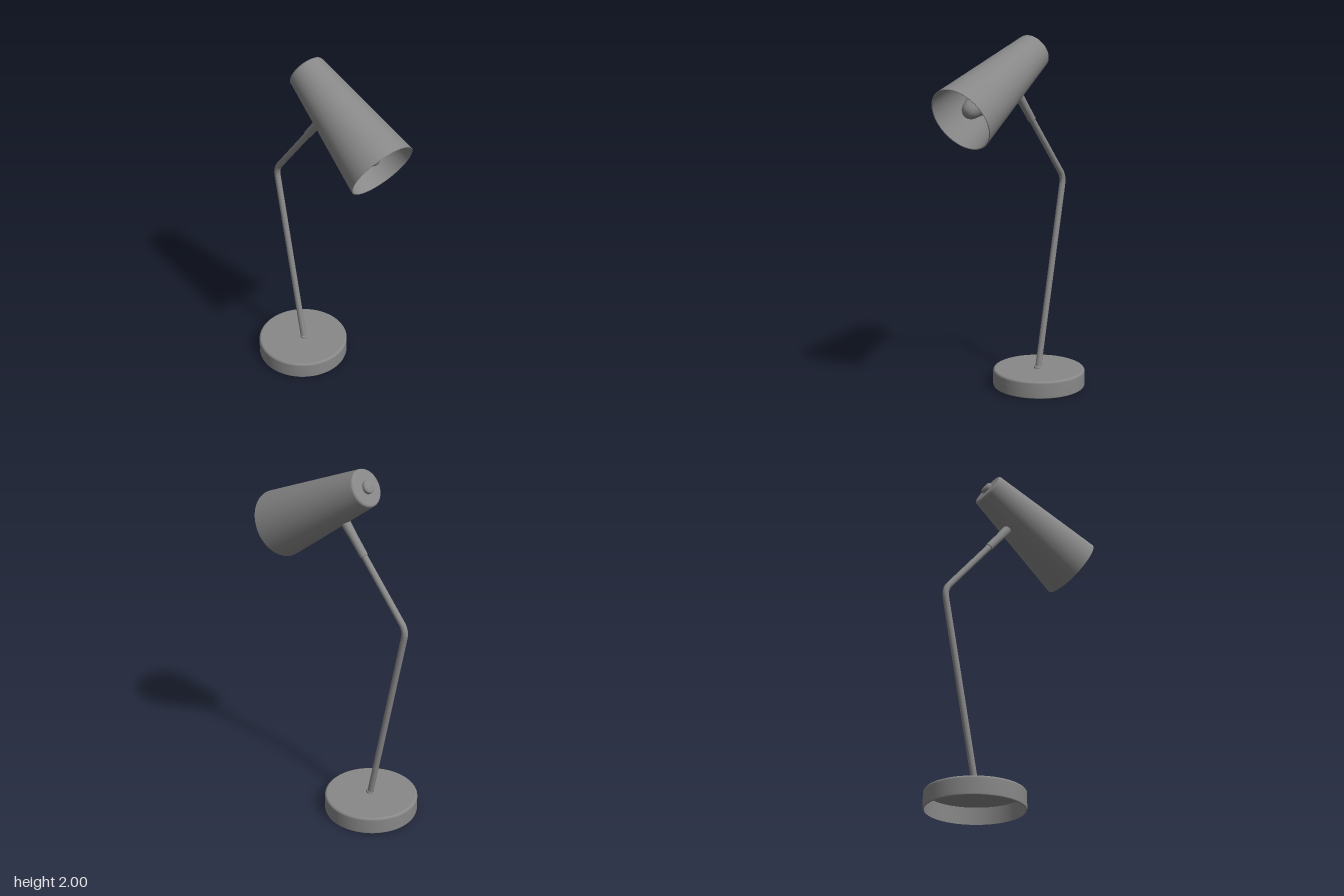
import * as THREE from 'three';
import { mergeGeometries } from 'three/addons/utils/BufferGeometryUtils.js';

const material = new THREE.MeshStandardMaterial({ color: 0x888888, side: THREE.DoubleSide });

function addMesh(parent, name, geometry) {
  const mesh = new THREE.Mesh(geometry, material);
  mesh.name = name;
  parent.add(mesh);
  return mesh;
}

// Turned part: profile of [radius, height], listed upwards along the outside.
// The profile is split at its sharp corners so that each run is smooth.
function turned(parent, name, profile, segments = 64) {
  const points = profile.map(([r, y]) => new THREE.Vector2(r, y));
  const runs = [[points[0]]];
  for (let i = 1; i < points.length; i++) {
    runs[runs.length - 1].push(points[i]);
    if (i === points.length - 1) break;
    const before = points[i].clone().sub(points[i - 1]);
    const after = points[i + 1].clone().sub(points[i]);
    if (before.angleTo(after) > 0.6) runs.push([points[i]]);
  }
  return addMesh(parent, name, mergeGeometries(runs.map((run) => new THREE.LatheGeometry(run, segments))));
}

// Quarter-round edge points, from the side (angle 0) to the top (angle 90)
function roundedEdge(r, y, size, steps = 5) {
  return Array.from({ length: steps + 1 }, (_, i) => {
    const a = (i / steps) * Math.PI / 2;
    return [r - size + size * Math.cos(a), y - size + size * Math.sin(a)];
  });
}

export function createModel() {
  const lamp = new THREE.Group();
  lamp.name = 'deskLamp';
  const baseZ = -0.236;
  const footZ = -0.227;

  // Hollow round base, with a collar above and the stem end below
  turned(lamp, 'base', [
    [0, 0.093], [0.257, 0.093], [0.257, 0], [0.259, 0], [0.262, 0.002], [0.264, 0.008],
    ...roundedEdge(0.264, 0.1, 0.014), [0, 0.1],
  ], 96).position.z = baseZ;
  turned(lamp, 'stemCollar', [
    [0.022, 0.095], ...roundedEdge(0.022, 0.112, 0.006), [0, 0.112],
  ], 32).position.z = footZ;
  turned(lamp, 'stemEnd', [[0, 0.085], [0.0175, 0.085], [0.0175, 0.095]], 32).position.z = footZ;

  // Bent stem
  const foot = new THREE.Vector3(0, 0.095, -0.229);
  const bend = new THREE.Vector3(0, 1.192, -0.449);
  const tip = new THREE.Vector3(0, 1.685, -0.05);
  const beforeBend = bend.clone().lerp(foot, 0.04);
  const afterBend = bend.clone().lerp(tip, 0.07);
  const path = new THREE.CurvePath();
  path.add(new THREE.LineCurve3(foot, beforeBend));
  path.add(new THREE.QuadraticBezierCurve3(beforeBend, bend, afterBend));
  path.add(new THREE.LineCurve3(afterBend, tip));
  addMesh(lamp, 'stem', new THREE.TubeGeometry(path, 160, 0.0175, 20));

  // Sleeve joining the stem to the shade
  const upper = tip.clone().sub(bend).normalize();
  const sleeve = turned(lamp, 'sleeve', [
    [0, 0], [0.019, 0], [0.022, 0.004], [0.023, 0.12], [0.026, 0.175], [0.027, 0.21], [0, 0.215],
  ], 32);
  sleeve.position.set(0, 1.537, -0.17);
  sleeve.quaternion.setFromUnitVectors(new THREE.Vector3(0, 1, 0), upper);

  // Tilted head: local y runs from the open mouth to the closed back
  const head = new THREE.Group();
  head.name = 'head';
  head.position.set(0, 1.583, 0.41);
  head.rotation.x = -1.057;
  lamp.add(head);

  const length = 0.68;
  turned(head, 'shade', [
    [0, length - 0.012], [0.09, length - 0.012], [0.181, 0.001], [0.184, -0.001], [0.187, 0.001],
    ...roundedEdge(0.103, length, 0.014), [0, length],
  ], 96);

  // Domed knob at the back of the shade
  turned(head, 'backKnob', [
    [0.035, length - 0.005], ...roundedEdge(0.035, length + 0.021, 0.012), [0, length + 0.024],
  ], 40);

  // Bulb and its socket
  turned(head, 'bulb', [
    [0, 0.045], [0.016, 0.047], [0.03, 0.055], [0.041, 0.068], [0.049, 0.086], [0.061, 0.13],
    [0.072, 0.2], [0.078, 0.25], [0.08, 0.3], [0.077, 0.335], [0.068, 0.37], [0.054, 0.405],
    [0.042, 0.44], [0.038, 0.47],
  ], 48);
  turned(head, 'socket', [[0, 0.46], [0.042, 0.46], [0.046, 0.464], [0.046, length - 0.01]], 40);

  return lamp;
}
